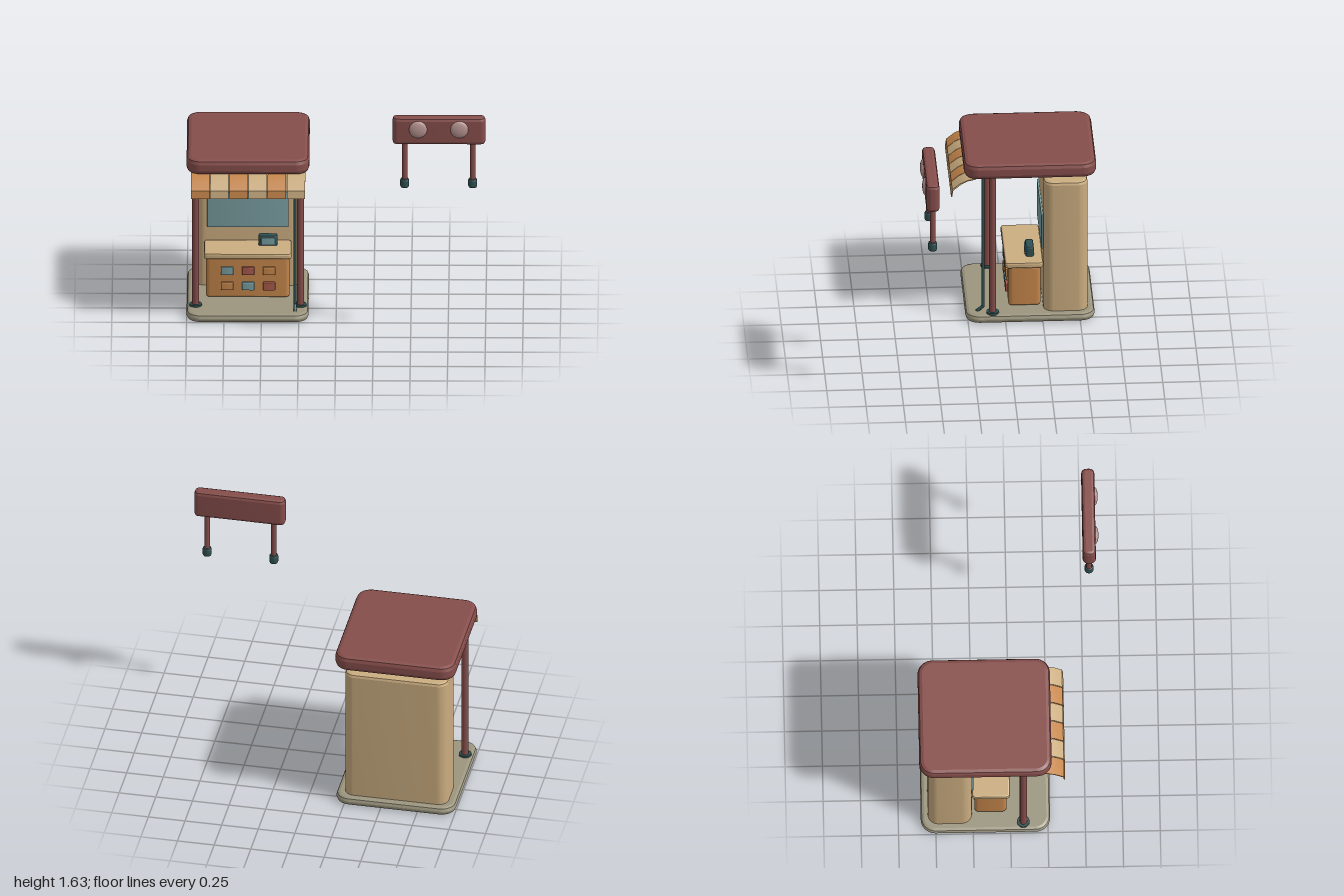
import * as THREE from 'three';
import { toCreasedNormals } from 'three/addons/utils/BufferGeometryUtils.js';

const mat = (name, color, extra = {}) => {
  const m = new THREE.MeshStandardMaterial({ color, ...extra });
  m.name = name;
  return m;
};

// Slab between two corners, with rounded plan corners (r) and bevelled rims (b)
function slab([x0, x1], [y0, y1], [z0, z1], r, b) {
  const w = (x1 - x0) / 2 - b, d = (z1 - z0) / 2 - b, k = Math.max(r - b, 0.002);
  const s = new THREE.Shape();
  s.absarc(w - k, d - k, k, 0, Math.PI / 2);
  s.absarc(k - w, d - k, k, Math.PI / 2, Math.PI);
  s.absarc(k - w, k - d, k, Math.PI, Math.PI * 1.5);
  s.absarc(w - k, k - d, k, Math.PI * 1.5, Math.PI * 2);
  s.closePath();
  const g = new THREE.ExtrudeGeometry(s, {
    depth: y1 - y0 - 2 * b, bevelThickness: b, bevelSize: b, bevelSegments: 2, curveSegments: 8,
  });
  g.rotateX(-Math.PI / 2);
  g.translate((x0 + x1) / 2, y0 + b, (z0 + z1) / 2);
  return toCreasedNormals(g, 0.3);
}

// Upright cylinder from y0 to y1
function rod(x, y0, y1, z, r) {
  return new THREE.CylinderGeometry(r, r, y1 - y0, 20).translate(x, (y0 + y1) / 2, z);
}

export function createModel() {
  const red = mat('maroon', 0x864e4b);
  const stone = mat('stone', 0x9c967f);
  const tan = mat('tan', 0xcbad80);
  const orange = mat('orange', 0xc5864b);
  const teal = mat('darkTeal', 0x2f5152);
  const glass = mat('glass', 0x7a9fa2);
  const brick = mat('brick', 0xa8594a);
  const pink = mat('palePink', 0xb99694);

  const model = new THREE.Group();
  const add = (name, geometry, material, parent = model) => {
    const m = new THREE.Mesh(geometry, material);
    m.name = name;
    parent.add(m);
    return m;
  };
  const group = (name) => {
    const g = new THREE.Group();
    g.name = name;
    model.add(g);
    return g;
  };

  // Main shell
  add('base', slab([-1, -0.185], [0, 0.058], [-0.6, 0.265], 0.1, 0.025), stone);
  add('roof', slab([-1, -0.18], [1.075, 1.18], [-0.61, 0.275], 0.1, 0.03), red);
  add('backCabinet', slab([-0.945, -0.24], [0.03, 1.015], [-0.553, -0.258], 0.07, 0.022), tan);
  add('wallScreen', slab([-0.865, -0.32], [0.485, 0.737], [-0.262, -0.245], 0.004, 0.002), glass);

  // Posts with foot plates, and ceiling lamps
  for (const side of [-1, 1]) {
    const x = -0.59 + side * 0.35;
    add('post', rod(x, 0.05, 1.085, 0.085, 0.024), red);
    add('postFoot', rod(x, 0.05, 0.07, 0.085, 0.042), teal);
    const lampX = -0.59 + side * 0.23;
    add('lampRim', rod(lampX, 1.066, 1.08, 0.03, 0.052), teal);
    add('lampLens', rod(lampX, 1.063, 1.07, 0.03, 0.04), tan);
  }

  // Cable pipe up the front and back along the ceiling
  const pipe = new THREE.CurvePath();
  const route = [[0.055, 0.19], [0.092, 0.147], [1.072, 0.147], [1.072, -0.52]]
    .map(([y, z]) => new THREE.Vector3(-0.275, y, z));
  for (let i = 0; i < 3; i++) pipe.add(new THREE.LineCurve3(route[i], route[i + 1]));
  pipe.curves.forEach((c) => add('cablePipe', new THREE.TubeGeometry(c, 1, 0.011, 10), teal));
  route.slice(1, 3).forEach((p) =>
    add('pipeElbow', new THREE.SphereGeometry(0.011, 10, 8).translate(p.x, p.y, p.z), teal));

  // Striped awning
  const awning = group('awning');
  const t = 0.007;
  const line = [[0.2, 1.078], [0.255, 1.067], [0.305, 1.043], [0.357, 1.0], [0.365, 0.945]];
  const under = line.map(([z, y], i) => [z - t * (i > 1 ? 1 : 0.3), y - (i < 4 ? t : 0)]).reverse();
  const profile = new THREE.Shape([...line, ...under].map(([z, y]) => new THREE.Vector2(z, y)));
  const pitch = 0.128;
  for (let i = 0; i < 6; i++) {
    const g = new THREE.ExtrudeGeometry(profile, { depth: pitch - 0.005, bevelEnabled: false });
    g.rotateY(-Math.PI / 2);
    g.translate(-0.974 + (i + 1) * pitch, 0, 0);
    add('awningStripe', toCreasedNormals(g, 0.6), i % 2 ? tan : orange, awning);
  }

  // Counter with buttons and terminal
  const counter = group('counter');
  add('counterBody', slab([-0.872, -0.313], [0.068, 0.355], [-0.24, -0.025], 0.03, 0.012), orange, counter);
  add('counterTop', slab([-0.885, -0.3], [0.35, 0.392], [-0.257, -0.002], 0.025, 0.012), tan, counter);
  const colors = [[glass, brick, orange], [orange, glass, brick]];
  colors.forEach((row, j) => row.forEach((m, i) => {
    const x = -0.73 + i * 0.14, y = 0.263 - j * 0.11;
    add('counterButton', slab([x - 0.042, x + 0.042], [y - 0.029, y + 0.029], [-0.035, -0.009], 0.008, 0.006), m, counter);
  }));
  add('terminal', slab([-0.522, -0.395], [0.385, 0.465], [-0.2, -0.145], 0.016, 0.012), teal, counter);
  add('terminalScreen', slab([-0.503, -0.413], [0.402, 0.452], [-0.147, -0.138], 0.004, 0.002), glass, counter);

  // Separate sign on two legs
  const sign = group('sign');
  add('signBoard', slab([0.38, 1], [1.433, 1.626], [0.507, 0.595], 0.035, 0.022), red, sign);
  for (const x of [0.46, 0.915]) {
    add('signLeg', rod(x, 1.15, 1.445, 0.55, 0.019), red, sign);
    add('signFoot', slab([x - 0.03, x + 0.03], [1.112, 1.178], [0.52, 0.58], 0.028, 0.014), teal, sign);
  }
  for (const x of [0.55, 0.826]) {
    const dome = new THREE.SphereGeometry(1, 28, 16).scale(0.06, 0.06, 0.02);
    add('signLight', dome.translate(x, 1.547, 0.595), pink, sign);
  }
  return model;
}
